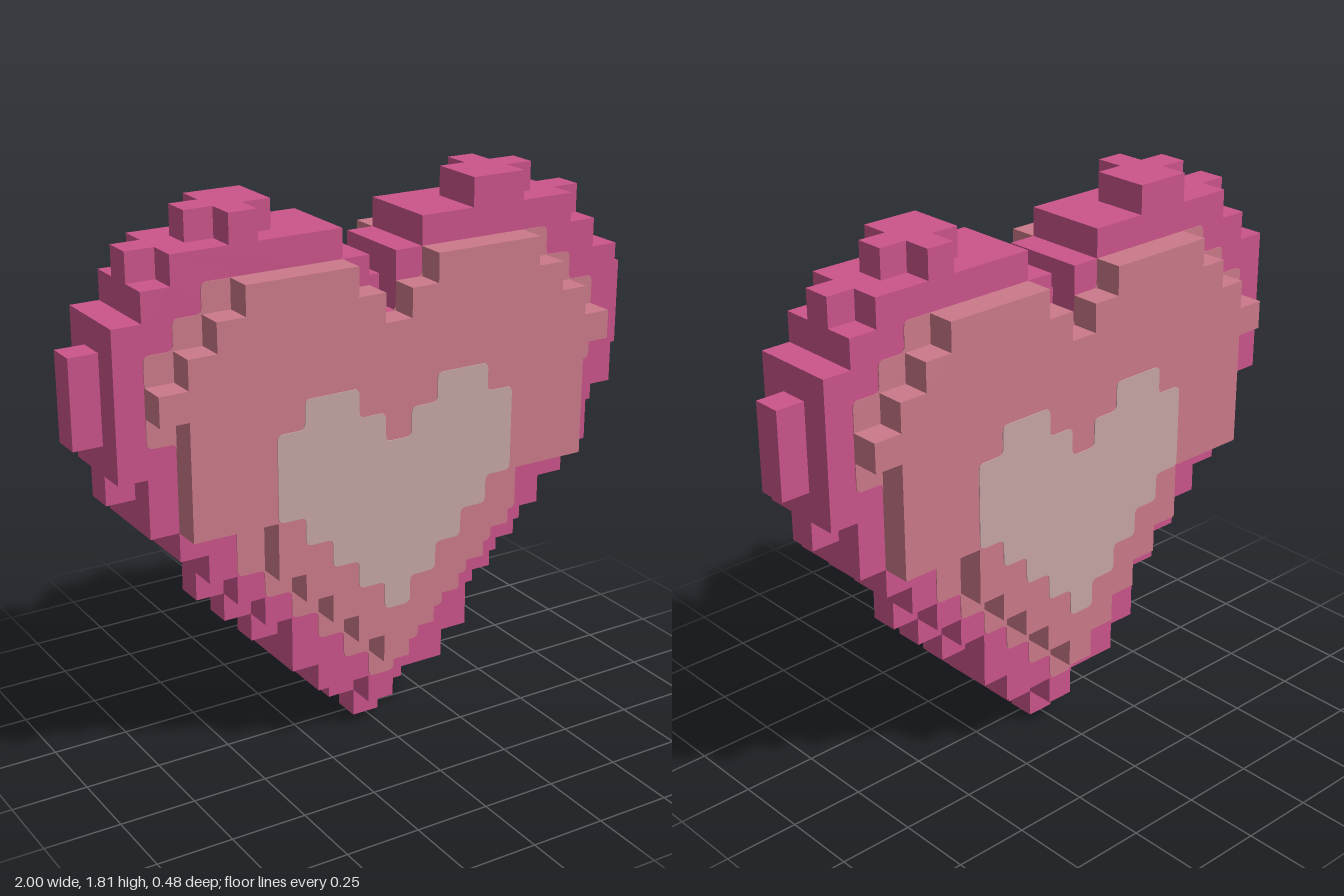
import * as THREE from 'three';

const V = 2 / 21; // one cell

// Blocky symmetric outline. outer: last column per row, inner: first column of rows in the notch.
function outline(firstRow, outer, inner = {}) {
  const side = [];
  const add = (c, r) => side.push([c * V, r * V]);
  const last = firstRow + outer.length - 1;
  outer.forEach((n, i) => {
    add(n + 0.5, firstRow + i);
    add(n + 0.5, firstRow + i + 1);
  });
  // down into the notch between the lobes
  for (let r = last; inner[r]; r--) {
    add(inner[r] - 0.5, r + 1);
    add(inner[r] - 0.5, r);
  }
  const all = [...side, ...side.map(([x, y]) => [-x, y]).reverse()];
  // drop repeated and collinear points
  const pts = all.filter((p, i) => {
    const q = all[(i + 1) % all.length];
    return Math.hypot(p[0] - q[0], p[1] - q[1]) > 1e-6;
  });
  return pts.filter((p, i) => {
    const a = pts[(i + pts.length - 1) % pts.length], b = pts[(i + 1) % pts.length];
    return Math.abs((p[0] - a[0]) * (b[1] - p[1]) - (p[1] - a[1]) * (b[0] - p[0])) > 1e-8;
  });
}

// Shape from points, with optional corner rounding
function toShape(pts, radius = 0) {
  if (!radius) return new THREE.Shape(pts.map(p => new THREE.Vector2(...p)));
  const s = new THREE.Shape();
  const toward = (p, q) => {
    const d = Math.hypot(q[0] - p[0], q[1] - p[1]);
    return [p[0] + (q[0] - p[0]) * radius / d, p[1] + (q[1] - p[1]) * radius / d];
  };
  pts.forEach((p, i) => {
    const start = toward(p, pts[(i + pts.length - 1) % pts.length]);
    const end = toward(p, pts[(i + 1) % pts.length]);
    if (i) s.lineTo(...start); else s.moveTo(...start);
    s.quadraticCurveTo(...p, ...end);
  });
  s.closePath();
  return s;
}

export function createModel() {
  const mat = (name, color) => {
    const m = new THREE.MeshStandardMaterial({ color });
    m.name = name;
    return m;
  };
  const deepPink = mat('deep pink', 0xcb548a);
  const rosePink = mat('rose pink', 0xcc7a8a);
  const paleRose = mat('pale rose', 0xc8a6a6);

  const slab = (name, pts, z, depth, material, radius) => {
    const geo = new THREE.ExtrudeGeometry(toShape(pts, radius), { depth, bevelEnabled: false, curveSegments: 3 });
    const mesh = new THREE.Mesh(geo, material);
    mesh.name = name;
    mesh.position.z = z;
    return mesh;
  };

  const model = new THREE.Group();
  model.name = 'blockHeart';

  // middle layer
  const core = outline(0, [0, 1, 2, 3, 4, 5, 6, 6, 7, 8, 9, 9, 10, 10, 10, 9, 8, 8], { 16: 1, 17: 2 });
  model.add(slab('core', core, -V / 2, V, deepPink));
  for (const s of [-1, 1]) {
    const crest = new THREE.Mesh(new THREE.BoxGeometry(3 * V, V, V), deepPink);
    crest.name = 'coreCrest';
    crest.position.set(s * 5 * V, 18.5 * V, 0);
    model.add(crest);
  }

  // layers of one face, repeated turned round for the back
  const rim = outline(1, [0, 2, 3, 3, 4, 5, 6, 7, 8, 8, 9, 9, 9, 9, 9, 8, 7], { 15: 1, 16: 1, 17: 2 });
  const border = outline(2, [0, 1, 2, 3, 4, 5, 5, 7, 7, 7, 8, 8, 8, 7, 6], { 15: 1, 16: 2 });
  const raised = outline(3, [0, 1, 2, 3, 4, 4, 7, 7, 7, 7, 8, 7, 6, 5], { 15: 1, 16: 2 });
  const inner = outline(5, [0, 1, 2, 3, 4, 4, 4, 3], { 11: 1, 12: 2 });
  for (const side of ['front', 'back']) {
    const face = new THREE.Group();
    face.name = side + 'Face';
    face.add(slab('rim', rim, V / 2, V, deepPink));
    face.add(slab('paintedBorder', border, 1.5 * V, 0.003, rosePink, 0.02));
    face.add(slab('raisedHeart', raised, 1.5 * V, V, rosePink));
    face.add(slab('innerHeart', inner, 2.5 * V, 0.003, paleRose, 0.02));
    // uneven blocks on top of the lobes
    for (const [x, w] of [[-5, 1], [4.5, 2]]) {
      const block = new THREE.Mesh(new THREE.BoxGeometry(w * V, V, V), deepPink);
      block.name = 'lobeBlock';
      block.position.set(x * V, 18.5 * V, V);
      face.add(block);
    }
    if (side === 'back') face.rotation.y = Math.PI;
    model.add(face);
  }
  return model;
}
